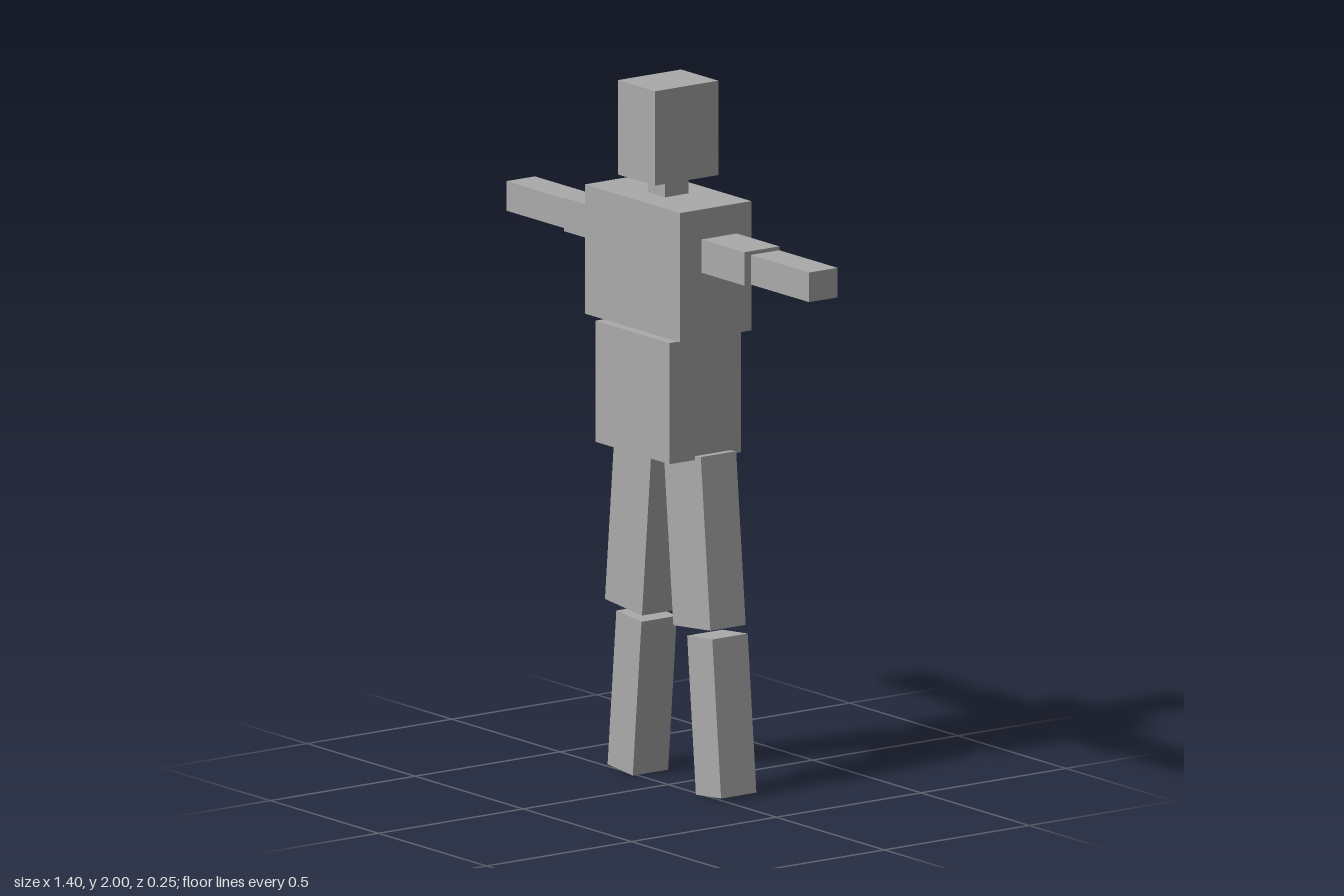
import * as THREE from 'three';

export function createModel() {
  const model = new THREE.Group();
  model.name = 'blockFigure';
  const grey = new THREE.MeshStandardMaterial({ color: 0xaaaaaa });
  grey.name = 'plain grey';

  // A block given by its size and centre, tilted about z
  function block(name, [w, h, d], [x, y, z], tilt = 0) {
    const mesh = new THREE.Mesh(new THREE.BoxGeometry(w, h, d), grey);
    mesh.name = name;
    mesh.position.set(x, y, z);
    mesh.rotation.z = tilt;
    model.add(mesh);
  }

  // Head and body
  block('head', [0.172, 0.268, 0.218], [0, 1.866, 0]);
  block('neck', [0.08, 0.06, 0.08], [0, 1.707, 0]);
  block('chest', [0.44, 0.367, 0.246], [0, 1.4975, 0]);
  block('abdomen', [0.344, 0.344, 0.246], [0, 1.131, 0]);

  // Limbs, mirrored left and right
  const splay = THREE.MathUtils.degToRad(5.2);
  for (const [side, s] of [['left', 1], ['right', -1]]) {
    block(side + 'UpperArm', [0.2, 0.095, 0.121], [s * 0.317, 1.5485, -0.0125]);
    block(side + 'Forearm', [0.27, 0.084, 0.098], [s * 0.565, 1.547, -0.0135]);
    block(side + 'Thigh', [0.172, 0.487, 0.122], [s * 0.136, 0.722, -0.025], s * splay);
    block(side + 'Shin', [0.117, 0.446, 0.122], [s * 0.184, 0.228, -0.048], s * splay);
  }

  return model;
}
